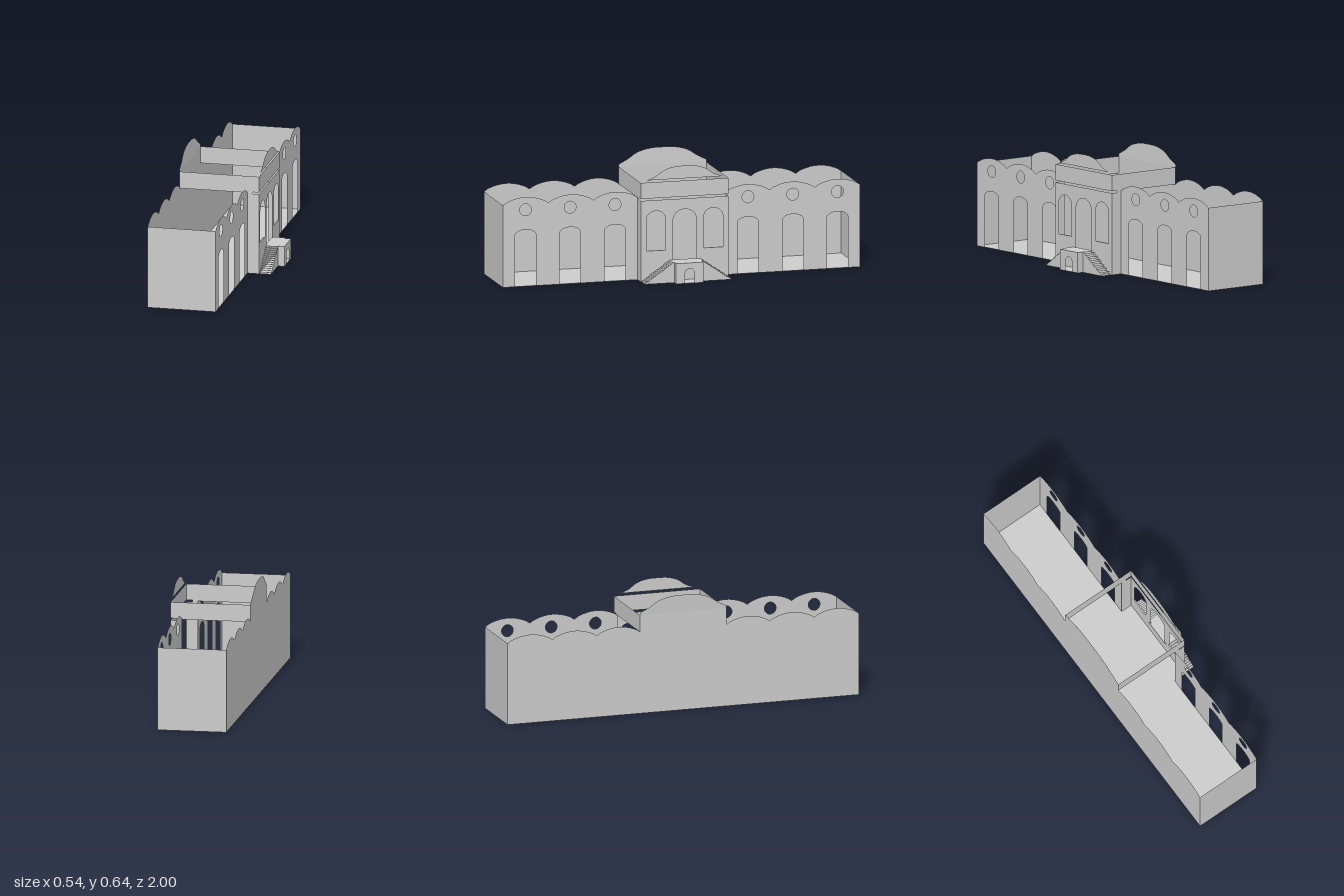
import * as THREE from 'three';

const mat = new THREE.MeshStandardMaterial({ color: 0xcccccc, side: THREE.DoubleSide, flatShading: true });
const BACK = -0.268, WING = 0.107, BAY = 0.17, HALF = 0.245;
const STEP_X = 0.236, PORCH = 0.272, PORCH_W = 0.077, PORCH_H = 0.112;

const poly = (pts) => new THREE.Shape(pts.map(([x, y]) => new THREE.Vector2(x, y)));
const rect = (x0, y0, x1, y1) => poly([[x0, y0], [x1, y0], [x1, y1], [x0, y1]]);

// Opening with a flattened round head
function arch(c, half, bottom, spring, top) {
  const p = new THREE.Path();
  p.moveTo(c - half, bottom);
  p.lineTo(c + half, bottom);
  p.lineTo(c + half, spring);
  p.absellipse(c, spring, half, top - spring, 0, Math.PI, false, 0);
  p.lineTo(c - half, bottom);
  return p;
}

// Points of three scalloped gables, from the end of a wing to the middle block
function scallops() {
  const ends = [1, 0.745, 0.492, HALF], pts = [];
  for (let i = 0; i < 3; i++) {
    for (let k = 0; k <= 12; k++) {
      const t = k / 12;
      const u = ends[i] + (ends[i + 1] - ends[i]) * t;
      pts.push([u, 0.453 + 0.038 * Math.pow(Math.sin(Math.PI * t), 0.75)]);
    }
  }
  return pts;
}

// Flared, curved gable; half profile mirrored about the middle
function gable(half) {
  const pts = [...half, ...half.slice(0, -1).reverse().map(([u, v]) => [-u, v])];
  const curve = new THREE.SplineCurve(pts.map(([u, v]) => new THREE.Vector2(u, v)));
  return new THREE.Shape(curve.getPoints(40));
}

export function createModel() {
  const model = new THREE.Group();

  const sheet = (name, shape) => {
    const m = new THREE.Mesh(new THREE.ShapeGeometry(shape, 12), mat);
    m.name = name;
    model.add(m);
    return m;
  };
  // Upright sheet facing +x: shape u runs along -z
  const facing = (name, shape, x, y = 0) => {
    const m = sheet(name, shape);
    m.rotation.y = Math.PI / 2;
    m.position.set(x, y, 0);
    return m;
  };
  // Upright sheet across z
  const across = (name, shape, z) => { sheet(name, shape).position.z = z; };
  // Level sheet seen from above
  const level = (name, x0, z0, x1, z1, y) => {
    const m = sheet(name, rect(x0, -z1, x1, -z0));
    m.rotation.x = -Math.PI / 2;
    m.position.y = y;
  };

  // Floors
  level('wingFloor', BACK, -1, WING, 1, 0);
  level('bayFloor', WING, -HALF, BAY, HALF, 0);
  level('stairFloor', BAY, -0.24, STEP_X, 0.24, 0);
  level('porchFloor', STEP_X, -PORCH_W, PORCH, PORCH_W, 0);

  // Back wall and its leaning gable
  const crest = scallops();
  facing('backWall', poly([[1, 0], ...crest, [HALF, 0.545], [-HALF, 0.545],
    ...crest.slice().reverse().map(([u, v]) => [-u, v]), [-1, 0]]), BACK);
  const backGable = facing('backGable', gable([[HALF, 0], [HALF - 0.002, 0.015], [0.195, 0.04],
    [0.14, 0.075], [0.07, 0.093], [0, 0.096]]), BACK, 0.545);
  backGable.rotation.order = 'ZYX';
  backGable.rotation.z = 0.05;

  for (const s of [-1, 1]) {
    // Wing front with doors and round windows
    const wing = poly([[s * HALF, 0], [s, 0], ...crest.map(([u, v]) => [s * u, v])]);
    for (const c of [0.873, 0.623, 0.372]) {
      wing.holes.push(arch(s * c, 0.059, 0.001, 0.28, 0.312));
      wing.holes.push(new THREE.Path().absarc(s * c, 0.421, 0.033, 0, Math.PI * 2));
    }
    facing('wingFront', wing, WING);
    across('endWall', rect(BACK, 0, WING, 0.453), s);

    // Side of the middle block, notched where the string course runs
    across('baySide', poly([[WING, 0], [BAY, 0], [BAY, 0.446], [0.138, 0.446], [0.135, 0.451],
      [0.138, 0.457], [BAY, 0.457], [BAY, 0.545], [BACK, 0.545], [BACK, 0.452], [WING, 0.452]]), s * HALF);

    // Window sill
    level('windowSill', 0.162, s * 0.16 - 0.054, BAY, s * 0.16 + 0.054, 0.168);

    // Open treads and the stepped stair side
    const n = 14, run = (0.24 - PORCH_W) / n, rise = PORCH_H / n;
    const side = [[s * PORCH_W, 0], [s * 0.24, 0]];
    for (let i = 0; i < n; i++) {
      const a = 0.24 - i * run, y = (i + 1) * rise;
      side.push([s * a, y], [s * (a - run), y]);
      const z = s * (a - run / 2);
      level('stairTread', BAY, z - run / 2, STEP_X, z + run / 2, y);
    }
    facing('stairSide', poly(side), STEP_X);
    across('porchSide', rect(STEP_X, 0, PORCH, PORCH_H), s * PORCH_W);
  }

  // Middle block front: door, two windows, attic band and gable
  const bay = rect(-HALF, 0, HALF, 0.446);
  bay.holes.push(arch(0, 0.064, PORCH_H, 0.335, 0.388));
  for (const c of [-0.16, 0.16]) bay.holes.push(arch(c, 0.054, 0.168, 0.338, 0.387));
  facing('bayFront', bay, BAY);
  facing('atticBand', rect(-HALF, 0.457, HALF, 0.545), BAY);
  facing('frontGable', gable([[0.215, 0.557], [0.165, 0.575], [0.115, 0.608], [0.06, 0.624], [0, 0.627]]), BAY);

  // Porch
  const porch = rect(-PORCH_W, 0, PORCH_W, PORCH_H);
  porch.holes.push(arch(0, 0.027, 0.001, 0.053, 0.08));
  facing('porchFront', porch, PORCH);
  level('porchLanding', 0.165, -PORCH_W, PORCH, PORCH_W, PORCH_H);

  return model;
}
